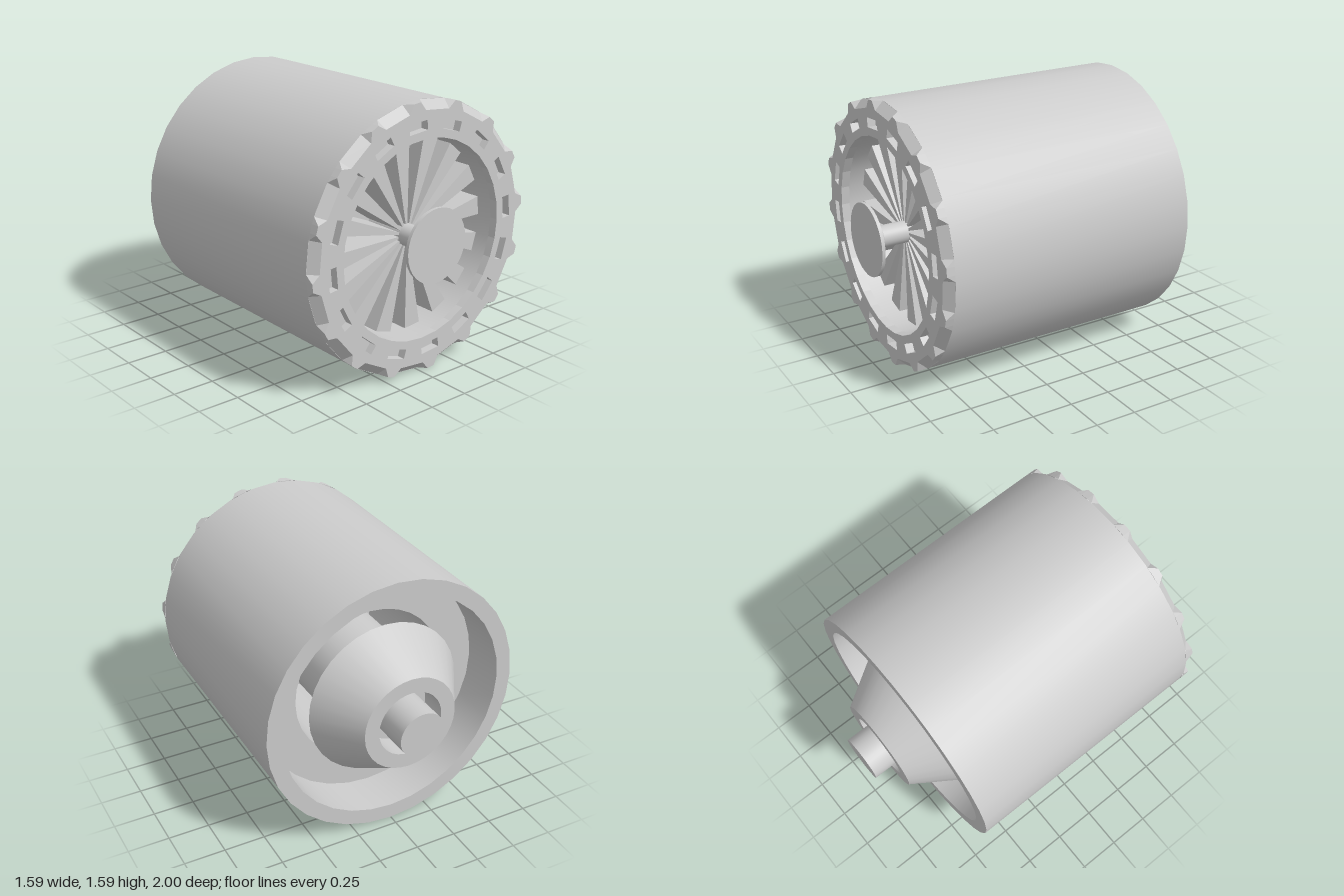
import * as THREE from 'three';
import { toCreasedNormals } from 'three/addons/utils/BufferGeometryUtils.js';

const CY = 0.797;      // height of the long axis
const R = 0.795;       // outer radius
const COUNT = 16;      // notches, slots and blades
const STEP = (Math.PI * 2) / COUNT;
const SLOT0 = THREE.MathUtils.degToRad(5.8);

export function createModel() {
  const model = new THREE.Group();
  const engine = new THREE.Group();
  engine.name = 'engine';
  engine.position.y = CY;
  model.add(engine);
  const material = new THREE.MeshStandardMaterial({ color: 0xcccccc, side: THREE.DoubleSide });

  const add = (name, geometry) => {
    const mesh = new THREE.Mesh(geometry, material);
    mesh.name = name;
    engine.add(mesh);
    return mesh;
  };
  // Profile of [radius, z] turned around the z axis
  const turn = (name, profile, segments = 32) => {
    const g = new THREE.LatheGeometry(profile.map(([r, z]) => new THREE.Vector2(r, z)), segments);
    g.rotateX(Math.PI / 2);
    return add(name, toCreasedNormals(g, 0.5));
  };
  const polar = (r, a) => new THREE.Vector2(r * Math.cos(a), r * Math.sin(a));

  // Hollow casing with a front bay, a rear recess and a bored bulkhead
  turn('casing', [
    [0.70, -0.69], [R, -0.69], [R, 0.85], [0.585, 0.85], [0.585, 0.5], [0, 0.5],
    [0, 0.44], [0.48, 0.44], [0.48, -0.40], [0.70, -0.40], [0.70, -0.69],
  ]);

  // Front ring with notched rim and rectangular slots
  const wide = 0.166, narrow = 0.117, notchR = 0.745;
  const outline = [];
  const corners = [];
  for (let i = 0; i < COUNT; i++) {
    const c = SLOT0 + (i + 0.5) * STEP;
    outline.push(polar(R, c - wide), polar(notchR, c - narrow),
      polar(notchR, c + narrow), polar(R, c + wide));

    // Bevel of each notch: sloped face, side triangles and rim fillers
    const at = (r, a, z) => { const p = polar(r, a); return [p.x, p.y, z]; };
    const a = at(notchR, c - narrow, 0.9), b = at(notchR, c + narrow, 0.9);
    const d = at(R, c - narrow, 0.85), e = at(R, c + narrow, 0.85);
    const l = at(R, c - wide, 0.9), r = at(R, c + wide, 0.9);
    const lf = at(R, c - wide, 0.85), rf = at(R, c + wide, 0.85);
    for (const tri of [[a, d, e], [a, e, b], [a, l, d], [b, e, r], [l, lf, d], [r, e, rf]]) {
      for (const p of tri) corners.push(...p);
    }
  }
  const ring = new THREE.Shape(outline);
  const opening = new THREE.Path();
  opening.absarc(0, 0, 0.585, 0, Math.PI * 2, true);
  ring.holes.push(opening);
  for (let i = 0; i < COUNT; i++) {
    const a = SLOT0 + i * STEP;
    const slot = [[0.63, -0.066], [0.63, 0.066], [0.687, 0.066], [0.687, -0.066]];
    ring.holes.push(new THREE.Path(slot.map(([u, v]) =>
      new THREE.Vector2(u, v).rotateAround(new THREE.Vector2(), a))));
  }
  const ringGeometry = new THREE.ExtrudeGeometry(ring, {
    depth: 0.05, bevelEnabled: false, curveSegments: 16,
  });
  add('frontRing', ringGeometry).position.z = 0.85;

  const bevels = new THREE.BufferGeometry();
  bevels.setAttribute('position', new THREE.Float32BufferAttribute(corners, 3));
  bevels.computeVertexNormals();
  add('rimNotches', bevels);

  // Fan blades: wedges with equal gaps
  const fan = new THREE.Group();
  fan.name = 'fan';
  const half = STEP / 2;
  const wedge = new THREE.Shape([
    polar(0.05, 0), polar(0.575, 0), polar(0.575, half), polar(0.05, half),
  ]);
  const blade = new THREE.ExtrudeGeometry(wedge, { depth: 0.26, bevelEnabled: false });
  for (let i = 0; i < COUNT; i++) {
    const mesh = new THREE.Mesh(blade, material);
    mesh.name = 'fanBlade';
    mesh.position.z = 0.5;
    mesh.rotation.z = i * STEP;
    fan.add(mesh);
  }
  engine.add(fan);

  // Front hub: thin shaft, flared neck and cap disc
  turn('frontHub', [
    [0, 0.5], [0.065, 0.5], [0.065, 0.915], [0.125, 0.98], [0.218, 0.98], [0.218, 1], [0, 1],
  ]);

  // Inner core running back to the nozzle
  turn('core', [[0.3, -0.58], [0.3, 0.45]]);

  // Rear cone with a bored end
  turn('rearCone', [
    [0, -0.70], [0.2, -0.70], [0.2, -0.87], [0.29, -0.87], [0.48, -0.57], [0, -0.57],
  ]);

  // Rear shaft
  turn('rearShaft', [[0, -1], [0.14, -1], [0.14, -0.69]]);

  return model;
}
